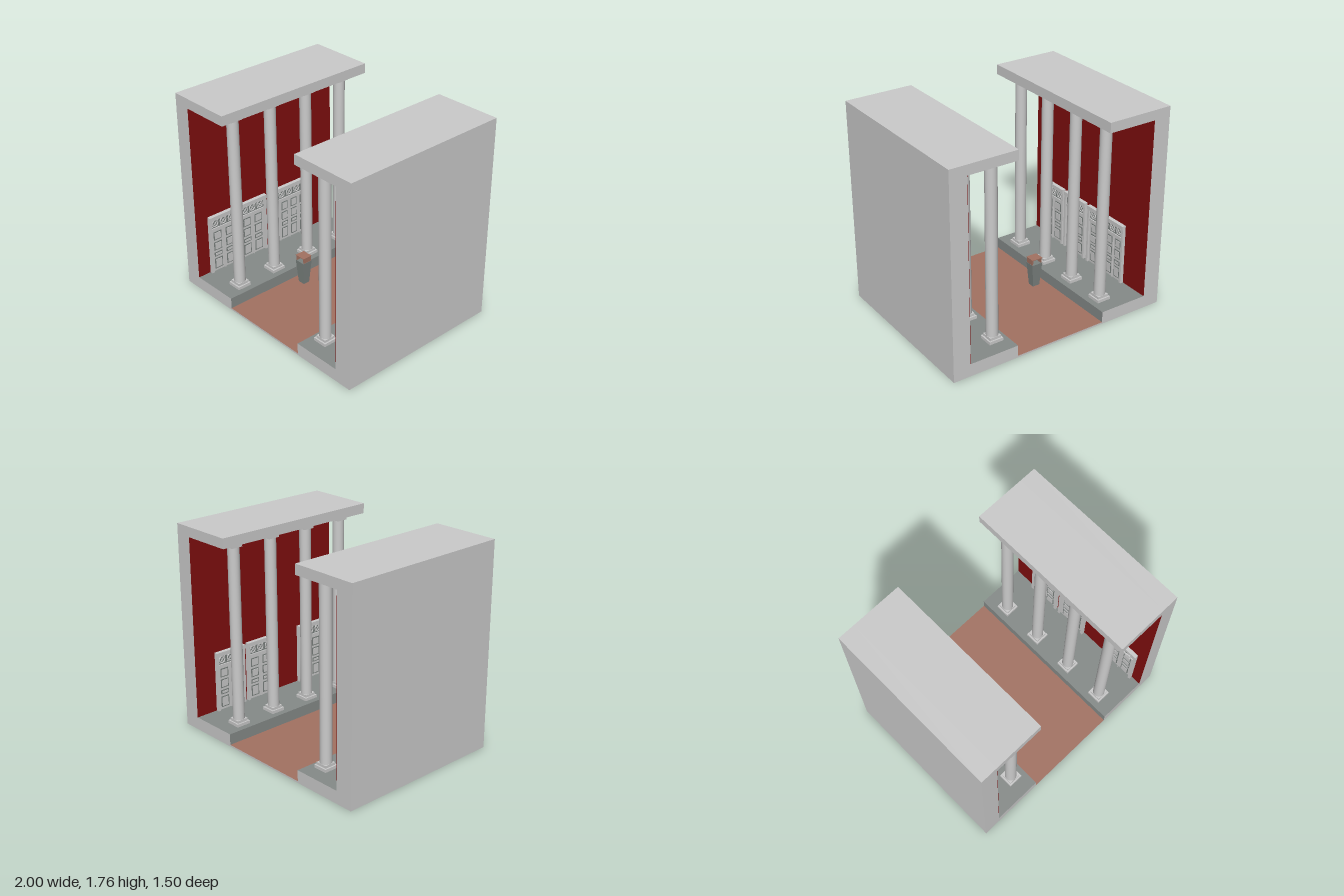
import * as THREE from 'three';

const mat = (name, color) => Object.assign(new THREE.MeshStandardMaterial({ color }), { name });

export function createModel() {
  const stone = mat('pale stone', 0xcbcbcb);
  const paving = mat('grey paving', 0x868b89);
  const red = mat('red plaster', 0x800e0e);
  const clay = mat('clay floor', 0xa37262);
  const slate = mat('slate', 0x7d8481);

  const model = new THREE.Group();
  model.name = 'courtyard';

  const add = (parent, name, geometry, material, x, y, z) => {
    const mesh = new THREE.Mesh(geometry, material);
    mesh.name = name;
    mesh.position.set(x, y, z);
    parent.add(mesh);
    return mesh;
  };
  // Box given by its lower and upper limits
  const box = (parent, name, material, [x0, x1], [y0, y1], [z0, z1]) =>
    add(parent, name, new THREE.BoxGeometry(x1 - x0, y1 - y0, z1 - z0), material,
      (x0 + x1) / 2, (y0 + y1) / 2, (z0 + z1) / 2);

  const depth = [-0.75, 0.75];

  // Courtyard floor: stone slab with a clay top
  box(model, 'courtyardFloor', [stone, stone, clay, stone, stone, stone], [-0.415, 0.415], [0, 0.015], depth);

  // Column on a stepped square base with a matching capital
  function column() {
    const g = new THREE.Group();
    g.name = 'column';
    const step = (name, w, y0, y1) => box(g, name, stone, [-w, w], [y0, y1], [-w, w]);
    step('lowerPlinth', 0.063, 0.11, 0.136);
    step('upperPlinth', 0.05, 0.136, 0.158);
    add(g, 'shaft', new THREE.CylinderGeometry(0.049, 0.049, 1.484, 32), stone, 0, 0.9, 0);
    step('lowerCapital', 0.05, 1.638, 1.66);
    step('upperCapital', 0.063, 1.66, 1.68);
    return g;
  }

  // Panelled door facing +z, standing on y = 0, with a decorated transom
  function door(w, h) {
    const g = new THREE.Group();
    g.name = 'door';
    const r = w / 2, t = 0.022, sill = h * 0.74;
    box(g, 'doorBacking', stone, [-r + t, r - t], [0, h - 0.03], [0, 0.012]);
    for (const s of [-1, 1]) {
      add(g, 'doorPost', new THREE.BoxGeometry(t, h - 0.03, 0.03), stone, s * (r - t / 2), (h - 0.03) / 2, 0.015);
    }
    box(g, 'lintel', stone, [-r, r], [h - 0.035, h], [0, 0.036]);
    box(g, 'transomBar', stone, [-r + t, r - t], [sill, sill + 0.022], [0, 0.024]);
    // Transom ornament: a row of rings between thin bars
    const inner = w - 2 * t, y0 = sill + 0.022, th = h - 0.035 - y0;
    box(g, 'transomPanel', slate, [-inner / 2, inner / 2], [y0, y0 + th], [0.012, 0.014]);
    const rings = Math.round(inner / 0.085);
    for (let i = 0; i < rings; i++) {
      const x = inner * ((i + 0.5) / rings - 0.5);
      add(g, 'transomRing', new THREE.TorusGeometry(th * 0.36, 0.006, 6, 16), stone, x, y0 + th / 2, 0.015);
      for (const a of [-1, 1]) {
        const bar = add(g, 'transomBrace', new THREE.BoxGeometry(th * 1.05, 0.007, 0.006), stone, x, y0 + th / 2, 0.016);
        bar.rotation.z = a * Math.PI / 4;
      }
    }
    // Leaves with sunk panels
    const leaves = w > 0.4 ? 4 : 2, lw = inner / leaves;
    const rows = [[0.05, 0.3], [0.35, 0.45], [0.5, 0.7], [0.75, 0.95]];
    for (let i = 0; i < leaves; i++) {
      const x = -inner / 2 + (i + 0.5) * lw;
      for (const [a, b] of rows) {
        box(g, 'sunkPanel', slate, [x - lw * 0.32, x + lw * 0.32], [a * sill, b * sill], [0.012, 0.014]);
        box(g, 'raisedPanel', stone, [x - lw * 0.24, x + lw * 0.24],
          [a * sill + 0.01, b * sill - 0.01], [0.012, 0.018]);
      }
      if (i) box(g, 'leafJoint', stone, [x - lw / 2 - 0.004, x - lw / 2 + 0.004], [0, sill], [0.012, 0.022]);
    }
    return g;
  }

  // Two facing galleries; each door is [z centre, width, height]
  const galleries = [
    { name: 'rightGallery', s: -1, doors: [[0.48, 0.3, 0.54], [0.165, 0.29, 0.54], [-0.25, 0.47, 0.54]] },
    { name: 'leftGallery', s: 1, doors: [[-0.4, 0.3, 0.53], [-0.07, 0.3, 0.53], [0.51, 0.3, 0.53]] },
  ];
  for (const { name, s, doors } of galleries) {
    const g = new THREE.Group();
    g.name = name;
    const span = (a, b) => (s > 0 ? [a, b] : [-b, -a]);
    box(g, 'outerWall', stone, span(0.85, 1), [0, 1.765], depth);
    box(g, 'roof', stone, span(0.415, 0.85), [1.68, 1.765], depth);
    // Platform: pale ends, grey walking surface and riser
    const riser = s > 0 ? [stone, paving] : [paving, stone];
    box(g, 'platform', [...riser, paving, stone, stone, stone], span(0.415, 0.85), [0, 0.11], depth);
    box(g, 'redWall', red, span(0.847, 0.85), [0.11, 1.68], depth);
    for (let i = 0; i < 4; i++) {
      const c = column();
      c.position.set(s * 0.53, 0, -0.5625 + i * 0.375);
      g.add(c);
    }
    for (const [z, w, h] of doors) {
      const d = door(w, h);
      d.position.set(s * 0.848, 0.11, z);
      d.rotation.y = -s * Math.PI / 2;
      g.add(d);
    }
    model.add(g);
  }

  // Litter bin: tapered square body with an open-fronted hood
  const bin = new THREE.Group();
  bin.name = 'bin';
  bin.position.set(-0.31, 0, 0.045);
  const body = new THREE.BoxGeometry(0.1, 0.215, 0.09);
  const p = body.attributes.position;
  for (let i = 0; i < p.count; i++) {
    if (p.getY(i) < 0) p.setXYZ(i, p.getX(i) * 0.66, p.getY(i), p.getZ(i) * 0.66);
  }
  body.computeVertexNormals();
  add(bin, 'binBody', body, slate, 0, 0.1225, 0);
  for (const s of [-1, 1]) {
    add(bin, 'hoodSide', new THREE.BoxGeometry(0.008, 0.046, 0.08), clay, s * 0.044, 0.253, 0);
  }
  box(bin, 'hoodTop', clay, [-0.05, 0.05], [0.275, 0.28], [-0.045, 0.045]);
  model.add(bin);

  return model;
}
